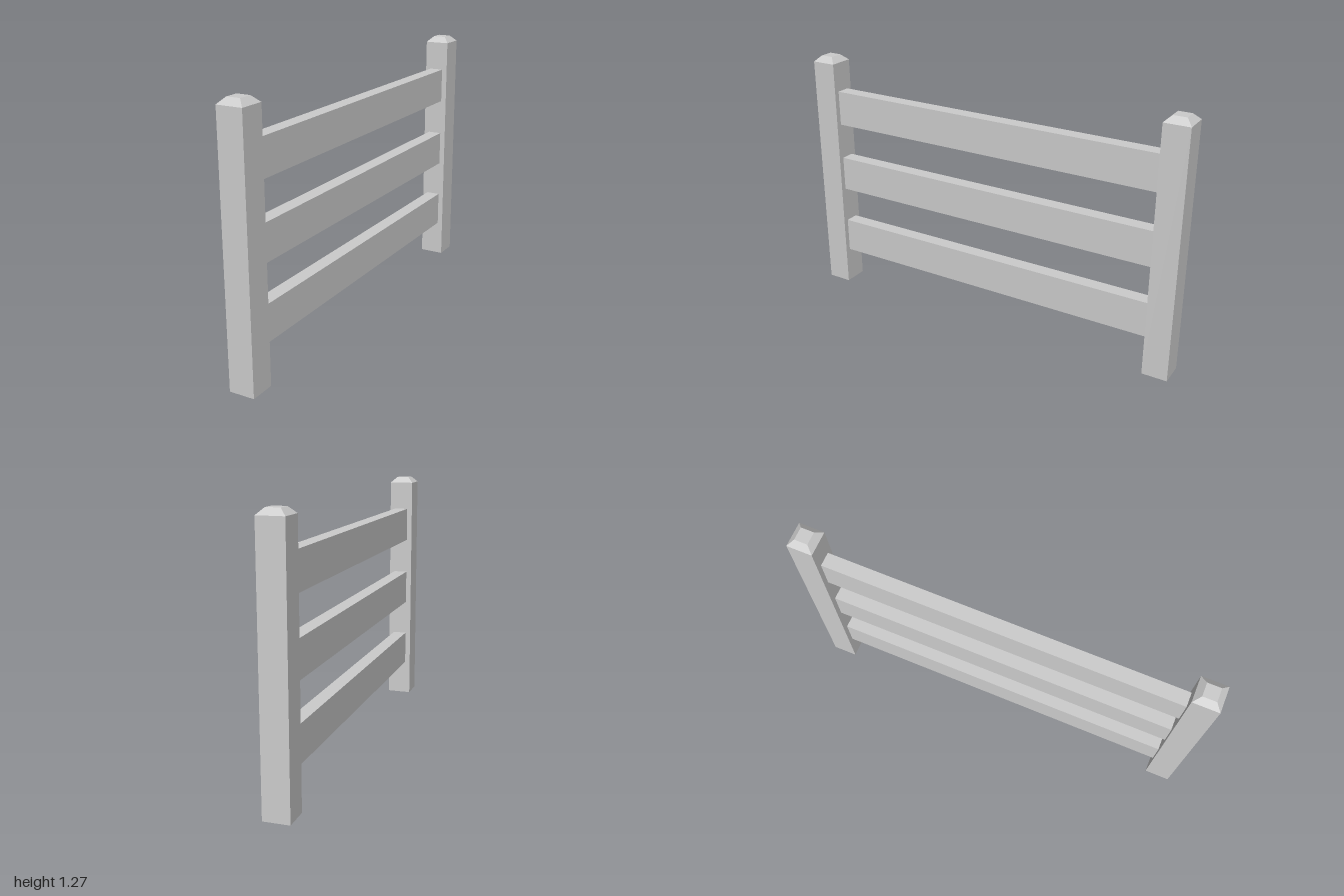
import * as THREE from 'three';

const POST = 0.125, SHOULDER = 1.238, TOP = 1.267, CAP = 0.52;
const RAIL_W = 0.07, RAIL_H = 0.178;

// Square post in one piece, its top edges chamfered to a small flat
function postGeometry() {
  const geo = new THREE.BoxGeometry(POST, 2, POST, 1, 2, 1);
  const p = geo.attributes.position;
  for (let i = 0; i < p.count; i++) {
    const level = Math.round(p.getY(i)) + 1;
    const s = level === 2 ? CAP : 1;
    p.setXYZ(i, p.getX(i) * s, [0, SHOULDER, TOP][level], p.getZ(i) * s);
  }
  geo.computeVertexNormals();
  return geo;
}

export function createModel() {
  const group = new THREE.Group();
  group.name = 'fence';
  const material = new THREE.MeshStandardMaterial({ color: 0xcccccc, flatShading: true });

  const add = (name, geometry, y, z) => {
    const mesh = new THREE.Mesh(geometry, material);
    mesh.name = name;
    mesh.position.set(0, y, z);
    group.add(mesh);
  };

  // Posts at both ends
  const post = postGeometry();
  const postZ = 1 - POST / 2;
  add('frontPost', post, 0, postZ);
  add('backPost', post, 0, -postZ);

  // Three evenly spaced rails between the posts
  const rail = new THREE.BoxGeometry(RAIL_W, RAIL_H, 2 - 2 * POST);
  ['lowerRail', 'middleRail', 'upperRail'].forEach((name, i) => add(name, rail, 0.274 + i * 0.3635, 0));

  return group;
}
